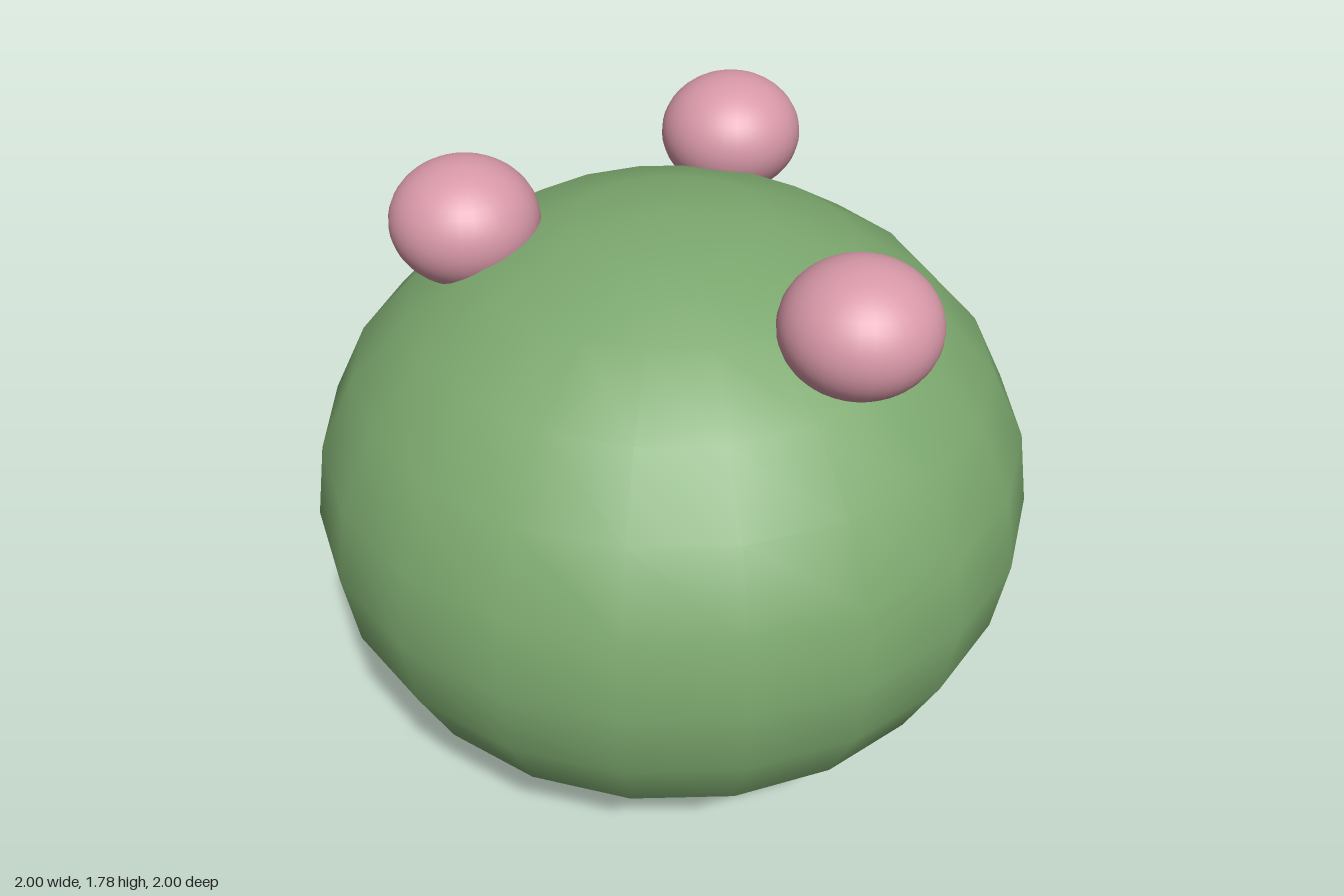
import * as THREE from 'three';

export function createModel() {
  const model = new THREE.Group();
  model.name = 'cactus';
  const green = new THREE.MeshStandardMaterial({ name: 'cactus green', color: 0x7ca86e });
  const pink = new THREE.MeshStandardMaterial({ name: 'blossom pink', color: 0xd898a8 });
  const squash = 0.84; // every ball is flattened by the same amount

  function ball(name, radius, widthSegments, heightSegments, material, x, y, z) {
    const mesh = new THREE.Mesh(new THREE.SphereGeometry(radius, widthSegments, heightSegments), material);
    mesh.name = name;
    mesh.scale.y = squash;
    mesh.position.set(x, y, z);
    model.add(mesh);
  }

  // Round body
  ball('body', 1, 20, 12, green, 0, squash, 0);

  // Three blossoms around the crown
  const blossoms = [[-0.55, 0], [0.5, 0.41], [0.09, -0.64]];
  blossoms.forEach(([x, z], i) => ball(`blossom${i + 1}`, 0.2, 32, 24, pink, x, 1.617, z));

  return model;
}
